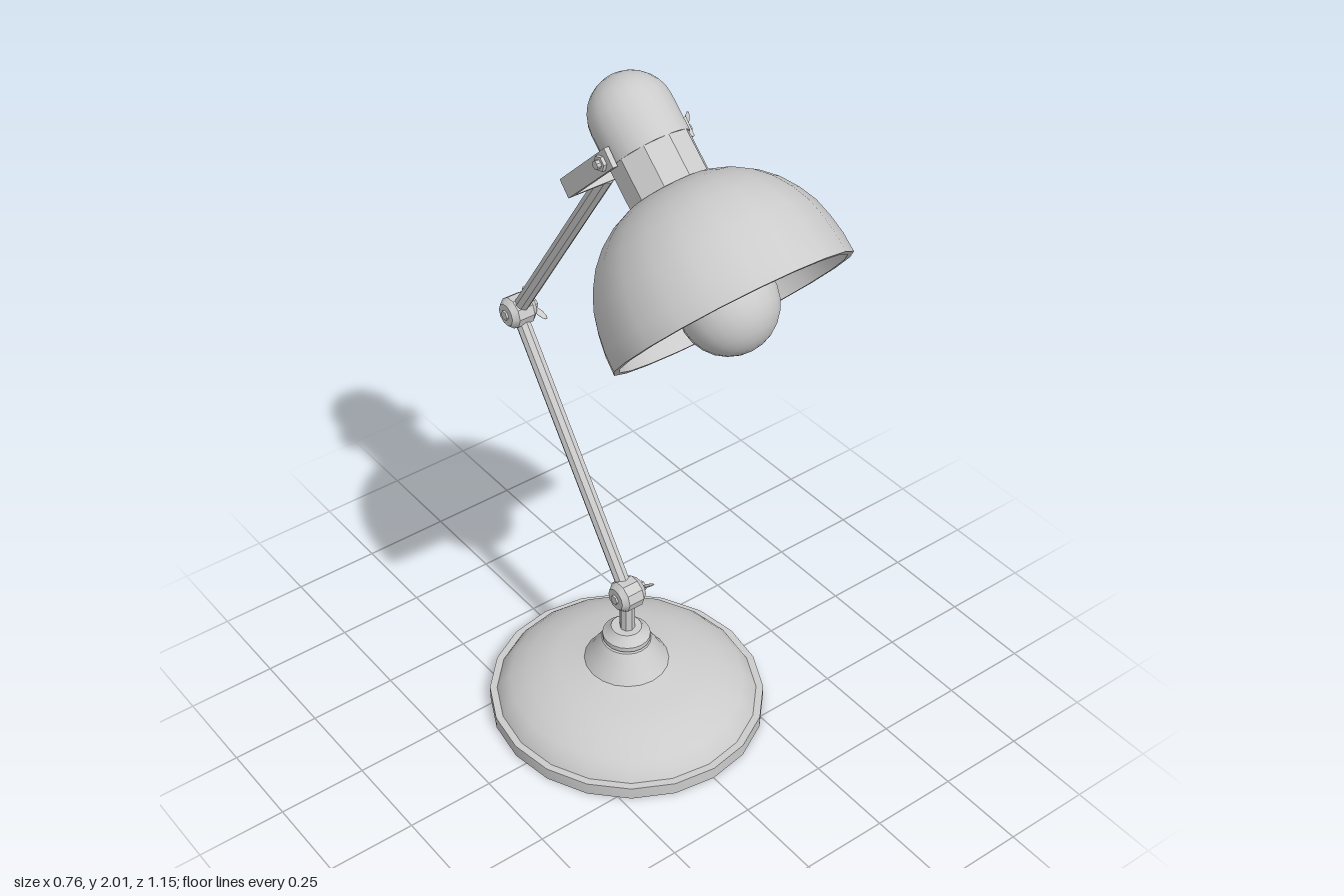
import * as THREE from 'three';
import { toCreasedNormals } from 'three/addons/utils/BufferGeometryUtils.js';

const material = new THREE.MeshStandardMaterial({ color: 0xcccccc });
const doubleMaterial = new THREE.MeshStandardMaterial({ color: 0xcccccc, side: THREE.DoubleSide });

function add(parent, name, geometry, mat = material) {
  const mesh = new THREE.Mesh(toCreasedNormals(geometry, 0.6), mat);
  mesh.name = name;
  parent.add(mesh);
  return mesh;
}

function group(parent, name, x = 0, y = 0, z = 0, tilt = 0) {
  const g = new THREE.Group();
  g.name = name;
  g.position.set(x, y, z);
  g.rotation.x = tilt;
  parent.add(g);
  return g;
}

// Profile points are [radius, height], listed from bottom to top on the outside
const lathe = (points, sides) =>
  new THREE.LatheGeometry(points.map(([r, y]) => new THREE.Vector2(r, y)), sides);

// Straight rod between two points
function rod(parent, name, from, to, radius, sides = 8) {
  const a = new THREE.Vector3(...from), b = new THREE.Vector3(...to);
  const mesh = add(parent, name, new THREE.CylinderGeometry(radius, radius, a.distanceTo(b), sides));
  mesh.position.copy(a).add(b).multiplyScalar(0.5);
  mesh.quaternion.setFromUnitVectors(new THREE.Vector3(0, 1, 0), b.sub(a).normalize());
  return mesh;
}

// Wing nut on the x axis; its two wings lie along local z
function wingNut(parent, x, tilt, size = 1) {
  const nut = group(parent, 'wingNut', x, 0, 0, tilt);
  nut.scale.setScalar(size);
  rod(nut, 'nutHub', [-0.012, 0, 0], [0.014, 0, 0], 0.014);
  for (const s of [-1, 1]) {
    const wing = add(nut, 'nutWing', new THREE.SphereGeometry(1, 10, 6));
    wing.scale.set(0.01, 0.004, 0.026);
    wing.position.set(0.008, 0, s * 0.034);
    wing.rotation.y = s * 0.25;
  }
}

// Chamfered pivot joint with bolt and wing nut
function joint(parent, name, y, z, wingTilt) {
  const g = group(parent, name, 0, y, z);
  const barrel = add(g, 'jointBarrel', lathe([
    [0, -0.04], [0.032, -0.04], [0.045, -0.024], [0.045, 0.024], [0.032, 0.04], [0, 0.04],
  ], 10));
  barrel.rotation.z = -Math.PI / 2;
  rod(g, 'boltHead', [-0.046, 0, 0], [-0.036, 0, 0], 0.014, 6);
  wingNut(g, 0.042, wingTilt);
}

export function createModel() {
  const lamp = new THREE.Group();
  lamp.name = 'deskLamp';
  const low = [0, 0.395, -0.037], mid = [0, 1.07, -0.52], top = [0, 1.69, -0.113];

  // Weighted base
  const base = group(lamp, 'base', 0, 0, -0.041);
  base.scale.z = 1.033;
  add(base, 'basePlate', lathe([
    [0, 0], [0.382, 0], [0.382, 0.037], [0.362, 0.037], [0.35, 0.058], [0.325, 0.083],
    [0.28, 0.108], [0.24, 0.125], [0.2, 0.138], [0.15, 0.147], [0.117, 0.155],
    [0.1, 0.179], [0.08, 0.21], [0.068, 0.23], [0, 0.23],
  ], 20));
  add(base, 'baseCollar', lathe([
    [0.055, 0.225], [0.066, 0.236], [0.066, 0.25], [0.05, 0.262], [0.042, 0.274], [0, 0.274],
  ], 20));
  rod(base, 'cableOutlet', [0, 0.018, -0.37], [0, 0.018, -0.387], 0.014);
  rod(lamp, 'stem', [0, 0.26, -0.037], low, 0.021);

  // Two-part arm
  rod(lamp, 'lowerArm', low, mid, 0.021);
  rod(lamp, 'upperArm', mid, top, 0.021);
  joint(lamp, 'lowerJoint', low[1], low[2], 0.66);
  joint(lamp, 'middleJoint', mid[1], mid[2], -0.42);
  lamp.getObjectByName('lowerJoint').children[2].rotation.x = -0.66;
  lamp.getObjectByName('middleJoint').children[2].rotation.x = 0.42;

  // U-shaped bracket that carries the head
  const bracket = group(lamp, 'bracket', 0, 1.84, 0.03, 0.806);
  for (const s of [-1, 1]) {
    const strap = add(bracket, 'bracketStrap', new THREE.BoxGeometry(0.014, 0.245, 0.05));
    strap.position.set(s * 0.112, -0.0875, 0);
    rod(bracket, 'pivotBolt', [s * 0.09, 0, 0], [s * 0.128, 0, 0], 0.02, 6);
  }
  add(bracket, 'bracketBridge', new THREE.BoxGeometry(0.238, 0.016, 0.05)).position.y = -0.204;
  rod(bracket, 'pivotBoltEnd', [-0.125, 0, 0], [-0.139, 0, 0], 0.011);
  wingNut(bracket, 0.129, 0.5, 0.7);

  // Head: local y runs from the shade opening back to the cap
  const head = group(lamp, 'head', 0, 1.5575, 0.3725, -0.842);
  const outer = [
    [0.311, 0], [0.309, 0.05], [0.301, 0.1], [0.289, 0.146], [0.268, 0.19],
    [0.24, 0.232], [0.204, 0.268], [0.16, 0.298], [0.11, 0.319], [0.05, 0.329], [0, 0.33],
  ];
  const inner = outer.map(([r, y]) => [r * 0.95, y * 0.95]).reverse();
  add(head, 'shade', lathe([...inner, ...outer], 20), doubleMaterial);

  // Socket collar and rounded cap
  add(head, 'socketCollar', new THREE.CylinderGeometry(0.105, 0.105, 0.12, 10)).position.y = 0.37;
  const cap = [[0, 0.425], [0.105, 0.425], [0.105, 0.518]];
  for (let i = 1; i <= 7; i++) {
    const a = (i / 7) * Math.PI / 2;
    cap.push([0.105 * Math.cos(a), 0.518 + 0.105 * Math.sin(a)]);
  }
  add(head, 'socketCap', lathe(cap, 20));

  // Bulb with tapering neck
  const bulb = [];
  for (let i = 0; i <= 10; i++) {
    const a = -Math.PI / 2 + (i / 10) * 2.45;
    bulb.push([0.121 * Math.cos(a), 0.025 + 0.121 * Math.sin(a)]);
  }
  bulb.push([0.072, 0.145], [0.068, 0.18], [0.068, 0.31]);
  add(head, 'bulb', lathe(bulb, 20));

  return lamp;
}
